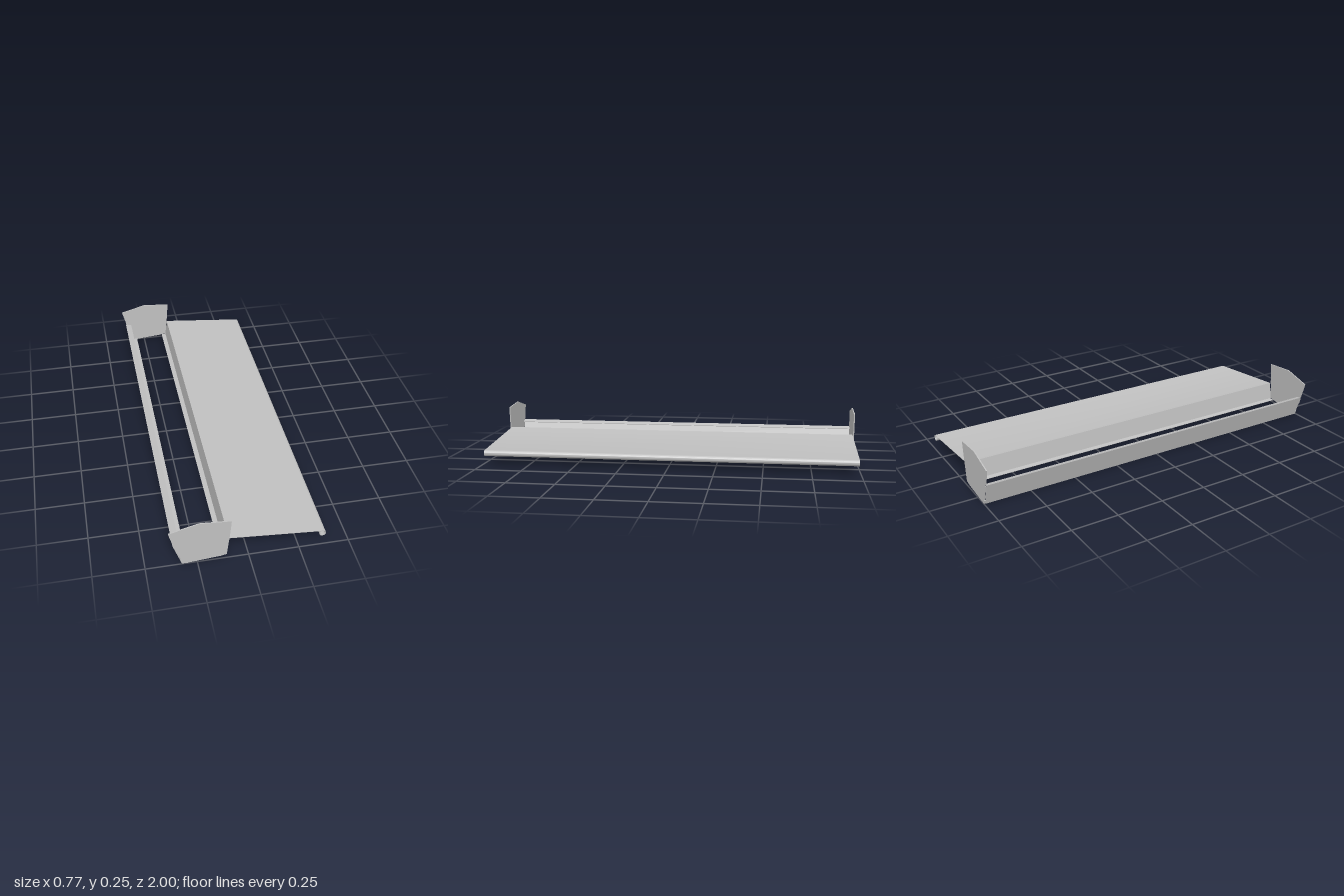
import * as THREE from 'three';
import { toCreasedNormals } from 'three/addons/utils/BufferGeometryUtils.js';

const steel = new THREE.MeshStandardMaterial({ color: 0xc0c0c0 });
steel.name = 'greySteel';

const SHEET = 0.003;      // sheet metal thickness
const PLATE = 0.006;      // end plate thickness
const points = (list) => list.map(([x, y]) => new THREE.Vector2(x, y));

// Thickens an open path into a closed outline with mitred corners.
function thicken(path, thickness) {
  const left = [], right = [];
  path.forEach((p, i) => {
    const before = path[Math.max(i - 1, 0)], after = path[Math.min(i + 1, path.length - 1)];
    const a = (i > 0 ? p.clone().sub(before) : after.clone().sub(p)).normalize();
    const b = (i < path.length - 1 ? after.clone().sub(p) : a.clone()).normalize();
    const na = new THREE.Vector2(-a.y, a.x), nb = new THREE.Vector2(-b.y, b.x);
    const miter = na.clone().add(nb).normalize();
    miter.multiplyScalar(thickness / 2 / Math.max(miter.dot(na), 0.4));
    left.push(p.clone().add(miter));
    right.unshift(p.clone().sub(miter));
  });
  return new THREE.Shape([...left, ...right]);
}

function extrude(name, shape, z0, depth) {
  const geo = new THREE.ExtrudeGeometry(shape, { depth, bevelEnabled: false, curveSegments: 10 });
  geo.translate(0, 0, z0);
  const mesh = new THREE.Mesh(toCreasedNormals(geo, 0.5), steel);
  mesh.name = name;
  return mesh;
}

// Rounded slot hole, slightly tilted.
function slot(cx, cy, length, height, tilt) {
  const r = height / 2, h = length / 2 - r;
  const dx = Math.cos(tilt) * h, dy = Math.sin(tilt) * h;
  const hole = new THREE.Path();
  hole.absarc(cx + dx, cy + dy, r, tilt - Math.PI / 2, tilt + Math.PI / 2, false);
  hole.absarc(cx - dx, cy - dy, r, tilt + Math.PI / 2, tilt + Math.PI * 1.5, false);
  hole.closePath();
  return hole;
}

export function createModel() {
  const model = new THREE.Group();
  model.name = 'sheetMetalTray';

  // End plates with two slots and relief notches beside the folded rails
  const outline = new THREE.Shape(points([
    [-0.385, 0.213], [-0.24, 0.253], [-0.086, 0.242], [-0.096, 0.125],
    [-0.099, 0.105], [-0.105, 0.045], [-0.107, 0.026], [-0.118, 0.025],
    [-0.137, 0.02], [-0.29, 0.006], [-0.298, 0.004], [-0.302, 0.006], [-0.323, 0.004],
    [-0.329, 0.022], [-0.326, 0.024], [-0.344, 0.08], [-0.349, 0.08],
    [-0.359, 0.115], [-0.328, 0.112], [-0.328, 0.116], [-0.36, 0.125],
  ]));
  outline.holes.push(slot(-0.234, 0.208, 0.082, 0.022, 0.09), slot(-0.222, 0.082, 0.082, 0.022, 0.09));
  model.add(extrude('frontEndPlate', outline, 1 - PLATE, PLATE));
  model.add(extrude('backEndPlate', outline, -1, PLATE));

  // Folded rear rail: top lip, leaning web and bottom lip
  const rail = points([[-0.331, 0.113], [-0.363, 0.122], [-0.324, 0.005], [-0.298, 0.007]]);
  model.add(extrude('foldedRail', thicken(rail, SHEET), -0.994, 1.988));

  // Wide sheet: bottom lip, upright web, sloping shelf and curled edge
  const sheet = points([[-0.133, 0.022], [-0.107, 0.025], [-0.095, 0.122]]);
  const cx = 0.368, cy = 0.065, r = 0.0152;
  for (let i = 0; i <= 32; i++) {
    const a = 1.47 - (i / 32) * Math.PI * 1.95;
    sheet.push(new THREE.Vector2(cx + r * Math.cos(a), cy + r * Math.sin(a)));
  }
  model.add(extrude('curledShelf', thicken(sheet, 0.0025), -0.99, 1.98));

  return model;
}
